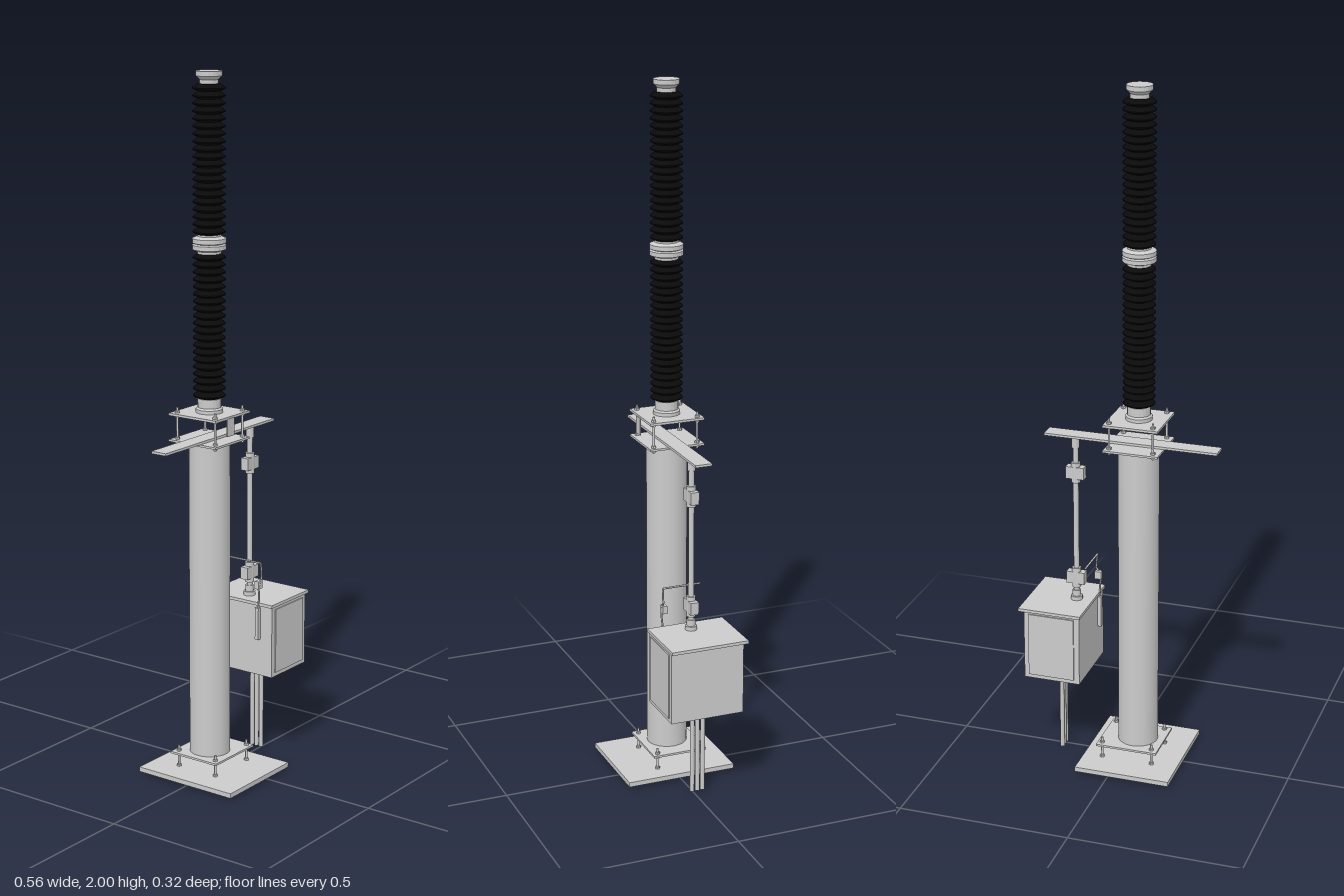
import * as THREE from 'three';

const grey = new THREE.MeshStandardMaterial({ color: 0xcccccc });
const greyFlat = new THREE.MeshStandardMaterial({ color: 0xcccccc, flatShading: true });
const black = new THREE.MeshStandardMaterial({ color: 0x0a0a0a, flatShading: true });

const CX = -0.048, CZ = -0.012; // axis of the column and insulators

export function createModel() {
  const model = new THREE.Group();
  model.name = 'insulatorPost';

  function add(name, geometry, x, y, z, material = grey) {
    const mesh = new THREE.Mesh(geometry, material);
    mesh.name = name;
    mesh.position.set(x, y, z);
    model.add(mesh);
    return mesh;
  }
  // Box given by its limits on each axis
  function box(name, x0, x1, y0, y1, z0, z1) {
    return add(name, new THREE.BoxGeometry(x1 - x0, y1 - y0, z1 - z0),
      (x0 + x1) / 2, (y0 + y1) / 2, (z0 + z1) / 2);
  }
  // Upright cylinder from y0 to y1
  function rod(name, x, z, y0, y1, r, sides = 16, rTop = r) {
    return add(name, new THREE.CylinderGeometry(rTop, r, y1 - y0, sides), x, (y0 + y1) / 2, z,
      sides < 8 ? greyFlat : grey);
  }
  // Turned part on the main axis, points are [radius, y]
  function turned(name, points, sides, material) {
    return add(name, new THREE.LatheGeometry(points.map(p => new THREE.Vector2(...p)), sides),
      CX, 0, CZ, material);
  }
  // Four studs with nuts around the given plate heights
  function studs(name, xs, y0, y1, nutHeights) {
    for (const x of xs) for (const z of [-0.077, 0.053]) {
      rod(name, x, z, y0, y1, 0.0035, 8);
      for (const y of nutHeights) rod(name + 'Nut', x, z, y, y + 0.006, 0.007, 6);
    }
  }

  // Foot and column
  box('basePlate', -0.185, 0.097, 0.006, 0.02, -0.163, 0.162);
  box('columnFootFlange', -0.127, 0.055, 0.06, 0.066, -0.094, 0.068);
  studs('anchorStud', [-0.109, 0.041], 0, 0.083, [0.02, 0.054, 0.066]);
  rod('column', CX, CZ, 0.066, 0.986, 0.058, 32);

  // Head plates and cross arm
  box('columnHeadFlange', -0.127, 0.032, 0.984, 0.99, -0.094, 0.068);
  box('crossArm', -0.28, 0.225, 0.99, 0.997, -0.034, 0.015);
  box('insulatorPlate', -0.127, 0.032, 1.058, 1.065, -0.094, 0.068);
  studs('levellingStud', [-0.109, 0.018], 0.974, 1.08, [0.978, 0.99, 1.052, 1.065]);
  box('ratingPlate', -0.075, -0.042, 1.01, 1.06, 0.067, 0.07);

  // Ribbed insulators
  function insulator(name, y0, y1, sheds) {
    const step = (y1 - y0) / sheds, points = [[0.031, y0]];
    for (let i = 0; i < sheds; i++) {
      const y = y0 + i * step;
      points.push([0.045, y + step * 0.3], [0.045, y + step * 0.45], [0.031, y + step]);
    }
    turned(name, points, 20, black);
  }
  insulator('lowerInsulator', 1.105, 1.51, 20);
  insulator('upperInsulator', 1.56, 1.967, 20);

  // Metal fittings at the insulator ends
  turned('bottomFitting', [[0, 1.065], [0.038, 1.065], [0.038, 1.075], [0.033, 1.08],
    [0.033, 1.105], [0, 1.105]], 20, greyFlat);
  turned('middleFitting', [[0, 1.505], [0.033, 1.505], [0.033, 1.515], [0.047, 1.52], [0.047, 1.532],
    [0.04, 1.535], [0.047, 1.538], [0.047, 1.55], [0.033, 1.556], [0.033, 1.565], [0, 1.565]], 20, greyFlat);
  turned('topCap', [[0, 1.962], [0.026, 1.962], [0.026, 1.977], [0.036, 1.987],
    [0.036, 2], [0, 2]], 20, greyFlat);

  // Drive rod with its couplings
  const RX = 0.14, RZ = -0.009;
  rod('driveRod', RX, RZ, 0.48, 0.99, 0.008);
  for (const y of [0.555, 0.88]) {
    box('couplingClamp', RX - 0.027, RX + 0.027, y - 0.018, y + 0.018, RZ - 0.012, RZ + 0.012);
    rod('couplingSleeve', RX, RZ, y - 0.03, y + 0.03, 0.013);
  }
  rod('rodSocket', RX, RZ, 0.485, 0.497, 0.017);
  rod('rodCollar', RX, RZ, 0.497, 0.515, 0.012);
  rod('rodTopCollar', RX, RZ, 0.955, 0.985, 0.011);

  // Control cabinet
  box('cabinet', 0.097, 0.264, 0.265, 0.476, -0.116, 0.101);
  box('cabinetLid', 0.092, 0.278, 0.476, 0.485, -0.125, 0.104);
  for (const [z0, z1] of [[-0.12, -0.116], [0.101, 0.104]])
    box('cabinetDoor', 0.113, 0.25, 0.277, 0.468, z0, z1);
  box('cabinetGrip', 0.086, 0.097, 0.375, 0.47, 0.049, 0.061);

  // Cranked handle beside the cabinet
  const path = new THREE.CurvePath();
  const bends = [[0.093, 0.46, 0.055], [0.092, 0.51, 0.06], [0.088, 0.53, 0.06], [0.104, 0.56, 0.06],
    [0.1, 0.602, 0.06], [0.1, 0.602, -0.054]].map(p => new THREE.Vector3(...p));
  for (let i = 1; i < bends.length; i++) path.add(new THREE.LineCurve3(bends[i - 1], bends[i]));
  add('crankHandle', new THREE.TubeGeometry(path, 60, 0.0028, 6), 0, 0, 0);
  box('crankBracket', 0.086, 0.106, 0.527, 0.55, 0.048, 0.062);

  // Cable conduits under the cabinet
  for (const z of [0.004, -0.012, -0.028]) rod('conduit', 0.182, z, 0.005, 0.265, 0.0065, 12);

  return model;
}
